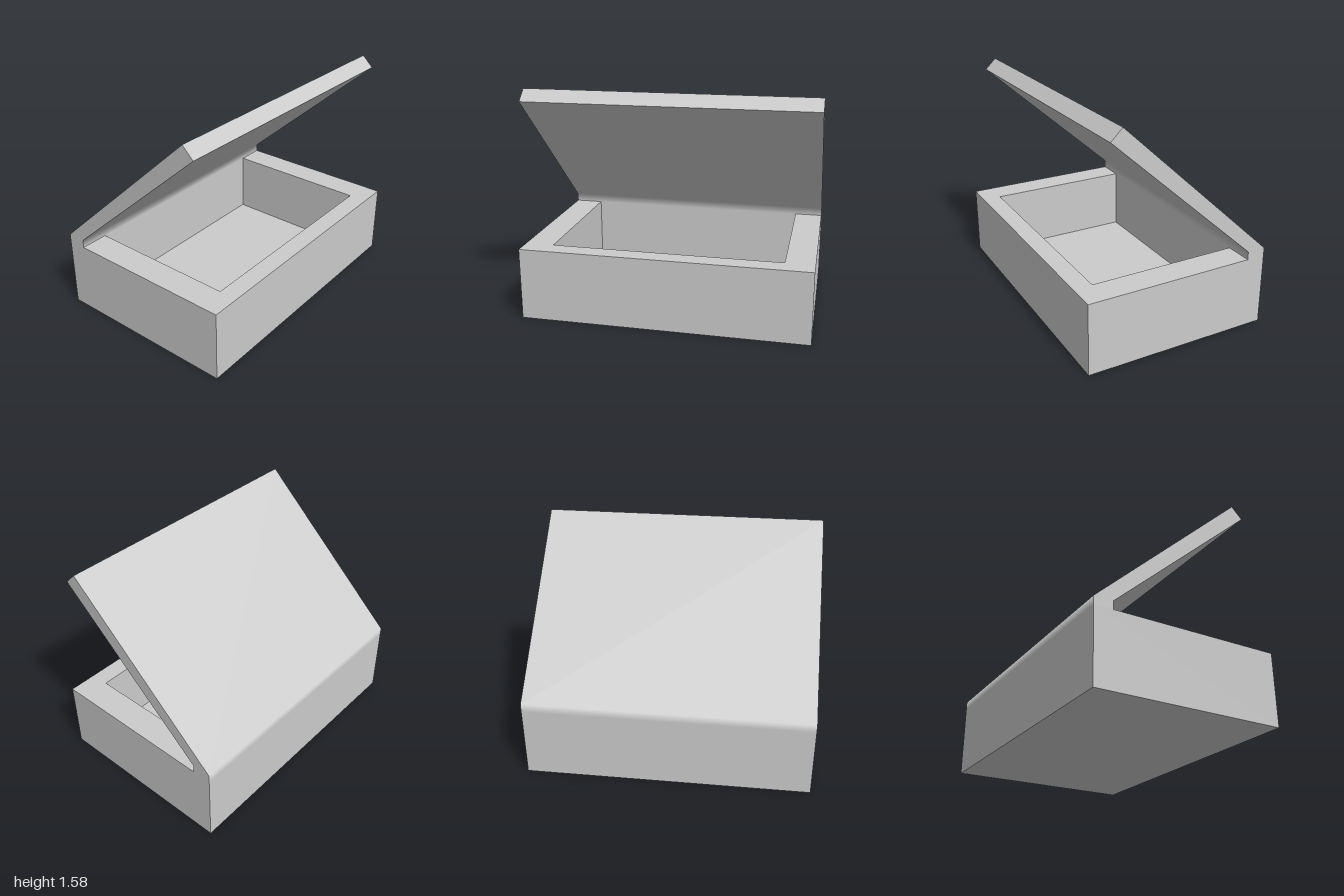
import * as THREE from 'three';

const W = 2, D = 1.33, H = 0.508;         // tray outside
const INNER_X = 0.8, INNER_Z = 0.532;     // half sizes of the cavity
const FLOOR = 0.05;
const HINGE_TOP = 0.565;

function rectangle(path, hx, hy) {
  path.moveTo(-hx, -hy);
  path.lineTo(hx, -hy);
  path.lineTo(hx, hy);
  path.lineTo(-hx, hy);
  path.closePath();
  return path;
}

export function createModel() {
  const group = new THREE.Group();
  group.name = 'openBox';
  const material = new THREE.MeshStandardMaterial({ color: 0xcccccc });
  const add = (name, geometry) => {
    const mesh = new THREE.Mesh(geometry, material);
    mesh.name = name;
    group.add(mesh);
    return mesh;
  };

  // Thick walls around the cavity
  const outline = rectangle(new THREE.Shape(), W / 2, D / 2);
  outline.holes.push(rectangle(new THREE.Path(), INNER_X, INNER_Z));
  add('trayWalls', new THREE.ExtrudeGeometry(outline, { depth: H, bevelEnabled: false }).rotateX(-Math.PI / 2));

  // Thin floor set between the walls
  add('trayFloor', new THREE.BoxGeometry(INNER_X * 2, FLOOR, INNER_Z * 2)).position.y = FLOOR / 2;

  // Lid and its hinge strip: one side profile of [z, y] points, drawn across the width
  const profile = [
    [-D / 2, H], [-D / 2, HINGE_TOP], [0.435, 1.578],
    [0.515, 1.5], [-INNER_Z, HINGE_TOP], [-INNER_Z, H],
  ];
  const side = new THREE.Shape(profile.map(([z, y]) => new THREE.Vector2(-z, y)));
  const lid = new THREE.ExtrudeGeometry(side, { depth: W, bevelEnabled: false })
    .rotateY(Math.PI / 2).translate(-W / 2, 0, 0);

  // Shade the hinge strip smoothly from the upright wall into the slanted lid
  const slant = (a, b) => new THREE.Vector3(0, b[0] - a[0], a[1] - b[1]).normalize();
  const outer = slant(profile[1], profile[2]);
  const inner = slant(profile[3], profile[4]);
  const { position, normal } = lid.attributes;
  for (let i = 0; i < position.count; i++) {
    const upright = Math.abs(normal.getZ(i)) > 0.99;
    if (!upright || position.getY(i) < HINGE_TOP - 0.01) continue;
    const n = normal.getZ(i) < 0 ? outer : inner;
    normal.setXYZ(i, n.x, n.y, n.z);
  }
  add('lid', lid);

  return group;
}
